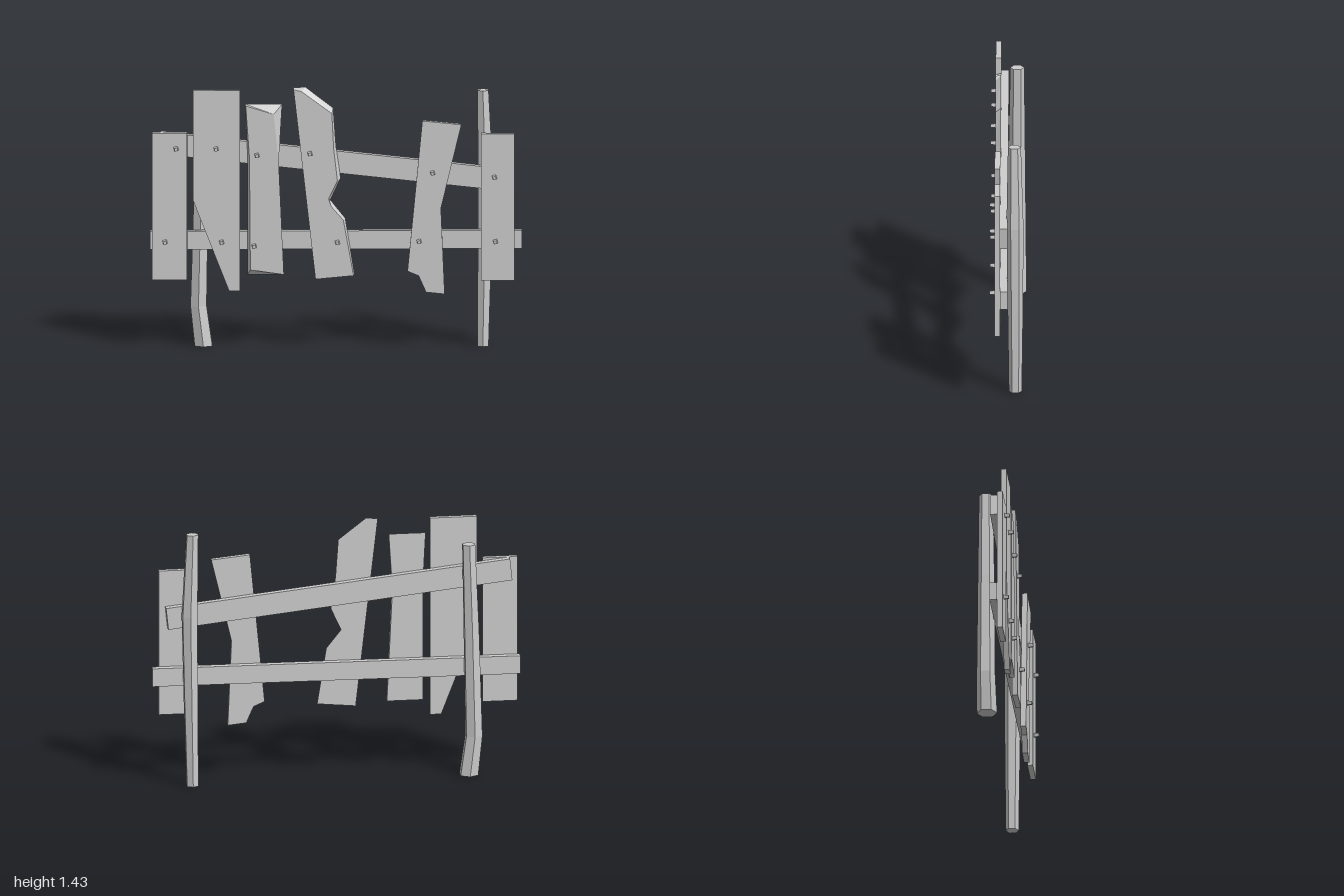
import * as THREE from 'three';

const material = new THREE.MeshStandardMaterial({ color: 0xcccccc, flatShading: true });
const PLANK_BACK = 0.04, PLANK_DEPTH = 0.03;

function addMesh(parent, name, geometry) {
  const mesh = new THREE.Mesh(geometry, material);
  mesh.name = name;
  parent.add(mesh);
  return mesh;
}

// Extruded outline; an optional front outline chips the front edges
function plankGeometry(back, front = back) {
  const shape = new THREE.Shape(back.map(([x, y]) => new THREE.Vector2(x, y)));
  const geo = new THREE.ExtrudeGeometry(shape, { depth: PLANK_DEPTH, bevelEnabled: false });
  const p = geo.attributes.position;
  for (let i = 0; i < p.count; i++) {
    if (p.getZ(i) < PLANK_DEPTH / 2) continue;
    const k = back.findIndex(([x, y]) => Math.hypot(x - p.getX(i), y - p.getY(i)) < 1e-4);
    if (k >= 0) p.setXY(i, front[k][0], front[k][1]);
  }
  geo.translate(0, 0, PLANK_BACK);
  geo.computeVertexNormals();
  return geo;
}

// Hexagonal log whose rings follow sections of [y, x, z, radius]
function postGeometry(sections) {
  const geo = new THREE.CylinderGeometry(1, 1, 1, 6, sections.length - 1);
  const p = geo.attributes.position;
  for (let i = 0; i < p.count; i++) {
    const [y, x, z, r] = sections[Math.round((p.getY(i) + 0.5) * (sections.length - 1))];
    p.setXYZ(i, x + p.getX(i) * r, y, z + p.getZ(i) * r);
  }
  geo.computeVertexNormals();
  return geo;
}

// Rail running between two end centres
function addRail(parent, name, [x0, y0], [x1, y1], height) {
  const length = Math.hypot(x1 - x0, y1 - y0);
  const rail = addMesh(parent, name, new THREE.BoxGeometry(length, height, 0.04));
  rail.position.set((x0 + x1) / 2, (y0 + y1) / 2, 0.02);
  rail.rotation.z = Math.atan2(y1 - y0, x1 - x0);
}

const rectangle = (x0, x1, y0, y1) => [[x0, y0], [x1, y0], [x1, y1], [x0, y1]];

export function createModel() {
  const fence = new THREE.Group();
  fence.name = 'brokenFence';

  // Posts
  addMesh(fence, 'rightPost', postGeometry([
    [0, -0.713, -0.04, 0.055], [0.22, -0.74, -0.043, 0.05],
    [0.8, -0.727, -0.043, 0.045], [1.29, -0.712, -0.045, 0.038],
  ]));
  addMesh(fence, 'leftPost', postGeometry([
    [0, 0.79, -0.042, 0.035], [0.45, 0.798, -0.042, 0.041],
    [0.95, 0.805, -0.04, 0.046], [1.405, 0.79, -0.037, 0.035],
  ]));

  // Rails
  addRail(fence, 'lowerRail', [-1, 0.59], [1, 0.6], 0.1);
  addRail(fence, 'upperRail', [-0.95, 1.125], [0.92, 0.925], 0.12);

  // Planks, from -x to +x: [back outline, chipped front outline]
  const planks = [
    [rectangle(-0.99, -0.8, 0.38, 1.185)],
    [[[-0.77, 1.42], [-0.77, 0.82], [-0.575, 0.32], [-0.515, 0.32], [-0.515, 1.42]]],
    [
      [[-0.49, 1.34], [-0.475, 1.05], [-0.475, 0.405], [-0.28, 0.405], [-0.31, 1.03], [-0.29, 1.34]],
      [[-0.485, 1.335], [-0.465, 1.05], [-0.46, 0.435], [-0.28, 0.41], [-0.308, 1.03], [-0.335, 1.29]],
    ],
    [
      [[-0.23, 1.43], [-0.11, 0.385], [0.1, 0.405], [0.05, 0.715], [-0.03, 0.815],
        [0.025, 0.935], [0, 1.11], [-0.015, 1.32], [-0.165, 1.435]],
      [[-0.228, 1.425], [-0.11, 0.385], [0.095, 0.405], [0.04, 0.71], [-0.048, 0.81],
        [0.008, 0.925], [-0.012, 1.1], [-0.022, 1.295], [-0.185, 1.415]],
    ],
    [[[0.465, 1.255], [0.385, 0.43], [0.445, 0.405], [0.485, 0.315], [0.585, 0.305],
      [0.565, 0.775], [0.675, 1.235]]],
    [rectangle(0.78, 0.96, 0.38, 1.185)],
  ];
  planks.forEach(([back, front], i) => addMesh(fence, `plank${i + 1}`, plankGeometry(back, front)));

  // Nails, one per plank on each rail
  const nails = [
    [-0.86, 1.1], [-0.645, 1.1], [-0.425, 1.065], [-0.14, 1.075], [0.52, 0.97], [0.853, 0.947],
    [-0.92, 0.588], [-0.615, 0.588], [-0.44, 0.567], [0.008, 0.588], [0.447, 0.594], [0.858, 0.594],
  ];
  const nailGeo = new THREE.CylinderGeometry(0.012, 0.017, 0.032, 4);
  nailGeo.rotateY(Math.PI / 4 + 0.25).rotateX(Math.PI / 2);
  nails.forEach(([x, y], i) => addMesh(fence, `nail${i + 1}`, nailGeo).position.set(x, y, 0.081));

  return fence;
}
